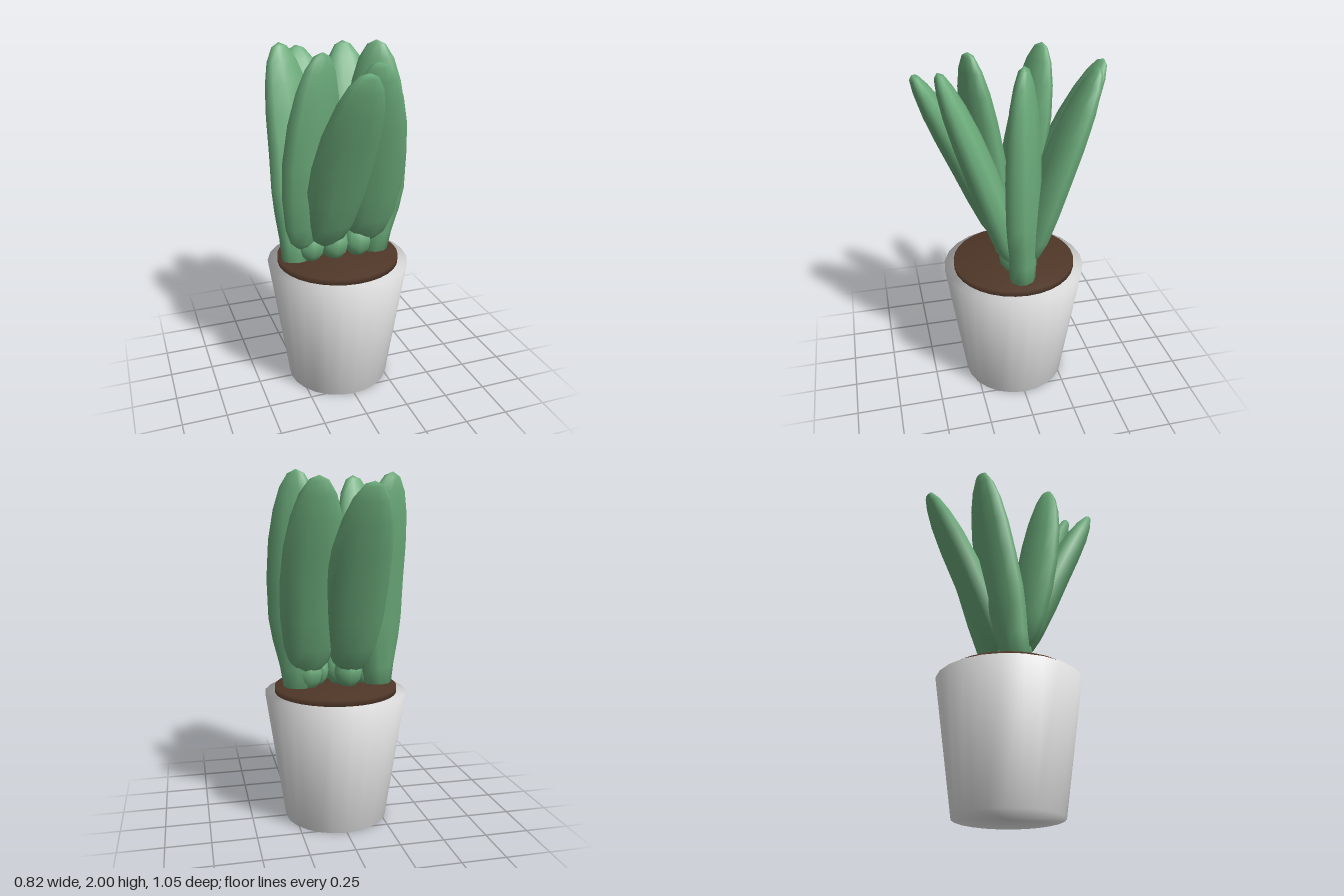
import * as THREE from 'three';
import { mergeVertices } from 'three/addons/utils/BufferGeometryUtils.js';

const mat = (name, color) => {
  const m = new THREE.MeshStandardMaterial({ color });
  m.name = name;
  return m;
};

// Cylinder whose rim normals blend softly into the caps
function softCylinder(top, bottom, height, sides) {
  const g = new THREE.CylinderGeometry(top, bottom, height, sides);
  g.deleteAttribute('normal');
  g.deleteAttribute('uv');
  const merged = mergeVertices(g);
  merged.computeVertexNormals();
  return merged;
}

// Blade profiles: [position along spine, half width, half thickness]
const UPPER = [
  [0.32, 0.168, 0.088], [0.5, 0.175, 0.087], [0.68, 0.163, 0.08],
  [0.82, 0.134, 0.066], [0.92, 0.096, 0.046], [0.98, 0.05, 0.026],
];
const ROUNDED = [[0, 0.06, 0.035], [0.05, 0.11, 0.058], [0.15, 0.146, 0.078], ...UPPER];
const TAPERED = [[0, 0.082, 0.07], [0.1, 0.105, 0.075], [0.22, 0.145, 0.084], ...UPPER];
const SIDES = 10;

// Fleshy blade: flattened rings swept along a gently curved spine
function bladeGeometry(profile, base, mid, tip, yaw) {
  const spine = new THREE.CatmullRomCurve3([base, mid, tip]);
  const across = new THREE.Vector3(Math.cos(yaw), 0, Math.sin(yaw));
  const pos = [], index = [];
  for (const [t, w, d] of profile) {
    const p = spine.getPoint(t), tangent = spine.getTangent(t);
    const side = across.clone().addScaledVector(tangent, -across.dot(tangent)).normalize();
    const out = tangent.clone().cross(side);
    for (let i = 0; i < SIDES; i++) {
      const a = (i / SIDES) * Math.PI * 2;
      const v = p.clone().addScaledVector(side, w * Math.cos(a)).addScaledVector(out, d * Math.sin(a));
      pos.push(v.x, v.y, v.z);
    }
  }
  const last = (profile.length - 1) * SIDES, bottomId = last + SIDES, tipId = bottomId + 1;
  pos.push(base.x, base.y - 0.01, base.z, tip.x, tip.y, tip.z);
  for (let i = 0; i < SIDES; i++) {
    const j = (i + 1) % SIDES;
    for (let r = 0; r < last; r += SIDES) {
      const a = r + i, b = r + j;
      index.push(a, b, b + SIDES, a, b + SIDES, a + SIDES);
    }
    index.push(bottomId, j, i, last + i, last + j, tipId);
  }
  const g = new THREE.BufferGeometry();
  g.setAttribute('position', new THREE.Float32BufferAttribute(pos, 3));
  g.setIndex(index);
  g.computeVertexNormals();
  return g;
}

export function createModel() {
  const model = new THREE.Group();
  model.name = 'pottedSucculent';
  const potMat = mat('potWhite', 0xececec);
  const soilMat = mat('soilBrown', 0x4f3728);
  const leafMat = mat('leafGreen', 0x6cac7b);

  const add = (parent, name, geometry, material, x = 0, y = 0, z = 0) => {
    const m = new THREE.Mesh(geometry, material);
    m.name = name;
    m.position.set(x, y, z);
    parent.add(m);
    return m;
  };

  // Tapered pot and the soil disc on top
  add(model, 'pot', softCylinder(0.41, 0.3, 0.755, 24), potMat, 0, 0.3775, 0);
  add(model, 'soil', softCylinder(0.353, 0.353, 0.06, 32), soilMat, 0, 0.76, 0);

  // Leaves: blade base x,y,z / middle x,z / tip x,y,z / yaw / foot x,z (none where the blade tapers into the soil)
  const leaves = [
    ['backLeaf', [-0.08, 0.89, -0.05], [-0.06, -0.26], [-0.08, 1.92, -0.515], 0, [-0.07, -0.035]],
    ['backLeftLeaf', [0.165, 0.89, -0.04], [0.17, -0.19], [0.17, 1.95, -0.4], 0.05, [0.16, -0.025]],
    ['backRightLeaf', [-0.255, 0.78, 0], [-0.21, -0.115], [-0.26, 1.98, -0.22], -0.35, null],
    ['frontRightLeaf', [-0.2, 0.88, 0.035], [-0.2, 0.125], [-0.15, 1.98, 0.21], -0.35, [-0.17, 0.03]],
    ['frontLeaf', [-0.09, 0.89, 0.05], [-0.06, 0.26], [-0.02, 1.92, 0.515], 0, [-0.03, 0.04]],
    ['frontLeftLeaf', [0.165, 0.89, 0.04], [0.14, 0.2], [0.07, 1.95, 0.4], 0.12, [0.11, 0.04]],
    ['leftLeaf', [0.225, 0.78, 0], [0.228, 0], [0.22, 2, 0], 0.52, null],
  ];
  for (const [name, base, [mx, mz], tip, yaw, footAt] of leaves) {
    const leaf = new THREE.Group();
    leaf.name = name;
    const b = new THREE.Vector3(...base), t = new THREE.Vector3(...tip);
    const middle = new THREE.Vector3(mx, 1.4, mz);
    add(leaf, 'blade', bladeGeometry(footAt ? ROUNDED : TAPERED, b, middle, t, yaw), leafMat);
    // Small plump foot, narrowing into the soil
    if (footAt) {
      const foot = add(leaf, 'foot', new THREE.SphereGeometry(1, 8, 6), leafMat, footAt[0], 0.875, footAt[1]);
      foot.scale.set(0.085, 0.1, 0.07);
    }
    model.add(leaf);
  }
  return model;
}
